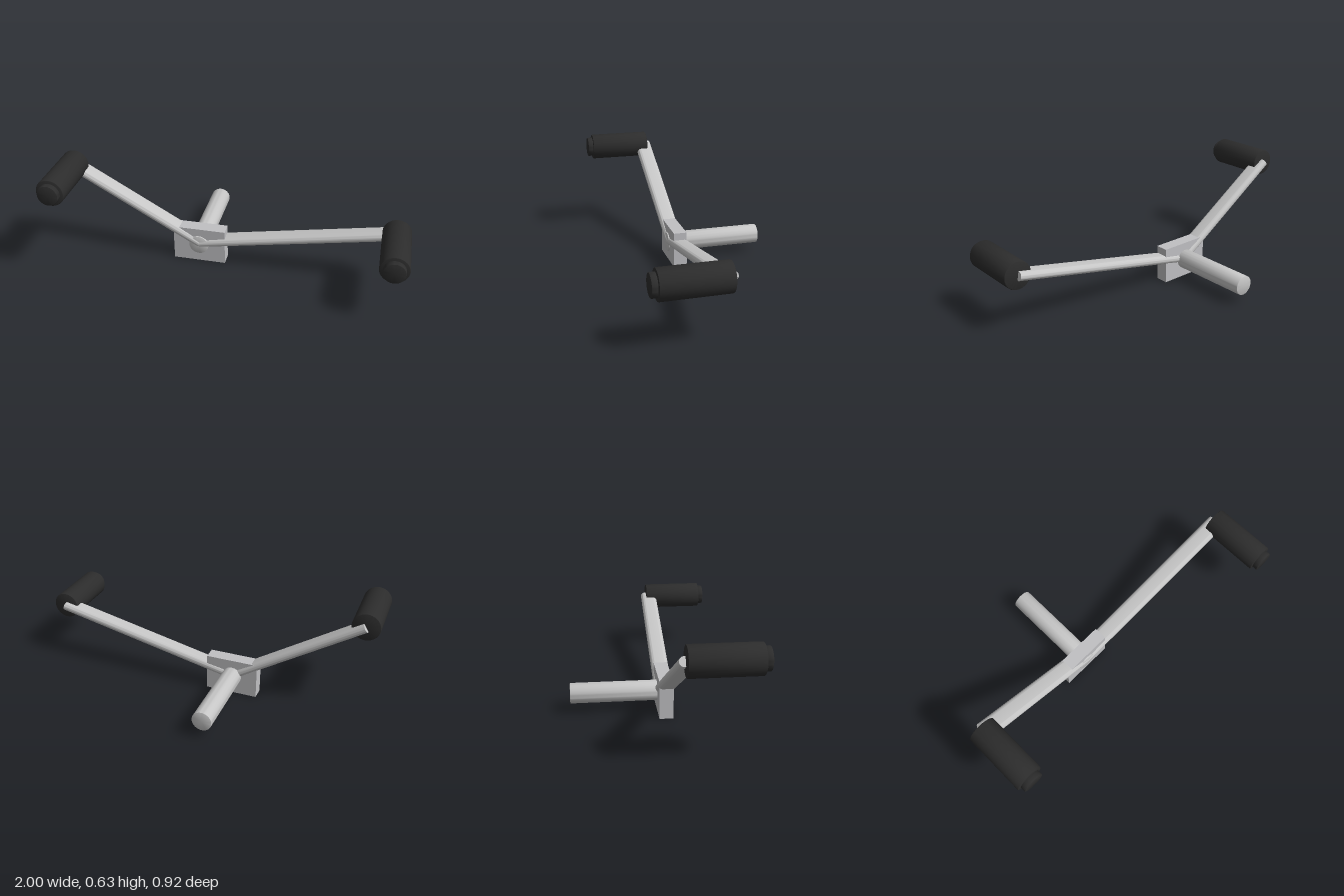
import * as THREE from 'three';
import { toCreasedNormals } from 'three/addons/utils/BufferGeometryUtils.js';

const metal = new THREE.MeshStandardMaterial({ color: 0xc6c6c6 });
metal.name = 'brushed metal';
const plateMetal = new THREE.MeshStandardMaterial({ color: 0xc0c0c3 });
plateMetal.name = 'plate metal';
const rubber = new THREE.MeshStandardMaterial({ color: 0x2c2c2c });
rubber.name = 'black rubber';

const HUB = new THREE.Vector3(-0.195, 0.113, 0.06);

// Round bar along z with slightly bevelled rims
function bar(name, r, z0, z1, bevel, material) {
  const profile = [
    [0, z0], [r - bevel, z0], [r - bevel * 0.3, z0 + bevel * 0.3], [r, z0 + bevel],
    [r, z1 - bevel], [r - bevel * 0.3, z1 - bevel * 0.3], [r - bevel, z1], [0, z1],
  ].map(([x, y]) => new THREE.Vector2(x, y));
  const geometry = new THREE.LatheGeometry(profile, 40).rotateX(Math.PI / 2);
  const mesh = new THREE.Mesh(toCreasedNormals(geometry, 0.6), material);
  mesh.name = name;
  return mesh;
}

// Flat oval bar running from one point to another, wide in z
function arm(name, from, to) {
  const r = 0.025, half = 0.026;
  const shape = new THREE.Shape();
  shape.absarc(half, 0, r, -Math.PI / 2, Math.PI / 2, false);
  shape.absarc(-half, 0, r, Math.PI / 2, Math.PI * 1.5, false);
  const along = to.clone().sub(from);
  const geometry = new THREE.ExtrudeGeometry(shape, {
    depth: along.length(), bevelEnabled: false, curveSegments: 14,
  });
  along.normalize();
  const wide = new THREE.Vector3(0, 0, 1).addScaledVector(along, -along.z).normalize();
  const thin = along.clone().cross(wide);
  geometry.applyMatrix4(new THREE.Matrix4().makeBasis(wide, thin, along).setPosition(from));
  const mesh = new THREE.Mesh(toCreasedNormals(geometry, 0.6), metal);
  mesh.name = name;
  return mesh;
}

export function createModel() {
  const model = new THREE.Group();
  model.name = 'twoArmedHandle';

  // Mounting plate
  const plate = new THREE.Mesh(new THREE.BoxGeometry(0.305, 0.213, 0.077), plateMetal);
  plate.name = 'mountingPlate';
  plate.position.set(-0.193, 0.1065, 0.061);
  model.add(plate);

  // Post through the plate
  const post = bar('post', 0.057, -0.461, 0.107, 0.003, metal);
  post.position.set(-0.195, 0.11, 0);
  model.add(post);

  // Arms with a grip on each end
  for (const [side, x, y] of [['right', -0.921, 0.555], ['left', 0.918, 0.34]]) {
    model.add(arm(side + 'Arm', HUB, new THREE.Vector3(x, y, 0.09)));
    const grip = new THREE.Group();
    grip.name = side + 'Grip';
    grip.position.set(x, y, 0);
    grip.add(bar('gripSleeve', 0.079, 0.071, 0.431, 0.006, rubber));
    grip.add(bar('gripEnd', 0.06, 0.42, 0.462, 0.006, rubber));
    model.add(grip);
  }
  return model;
}
